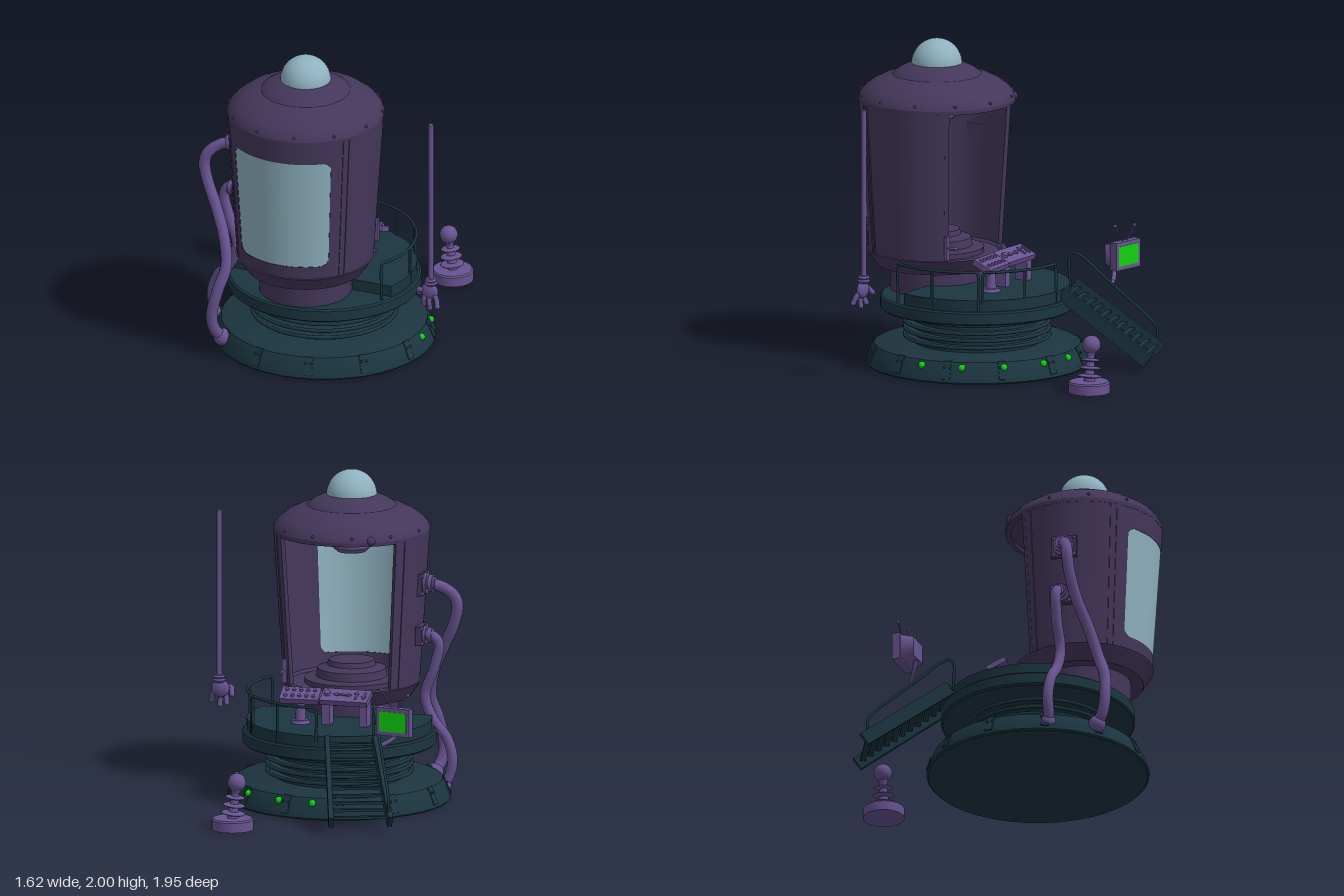
import * as THREE from 'three';
import { toCreasedNormals } from 'three/addons/utils/BufferGeometryUtils.js';

const mat = (color) => new THREE.MeshStandardMaterial({ color, side: THREE.DoubleSide });
const V = (x, y, z) => new THREE.Vector3(x, y, z);
const rad = THREE.MathUtils.degToRad;

export function createModel() {
  const root = new THREE.Group();
  const shell = mat(0x44375b), purple = mat(0x675390), teal = mat(0x1b353f);
  const glass = mat(0x8fb2c0), green = mat(0x10d010);

  const add = (name, geo, m, x = 0, y = 0, z = 0, parent = root) => {
    const mesh = new THREE.Mesh(geo, m);
    mesh.name = name;
    mesh.position.set(x, y, z);
    parent.add(mesh);
    return mesh;
  };
  const lathe = (name, pts, m, x, z, parent = root, seg = 40) =>
    add(name, toCreasedNormals(new THREE.LatheGeometry(pts.map(p => new THREE.Vector2(...p)), seg), rad(25)), m, x, 0, z, parent);
  const box = (name, w, h, d, m, x, y, z, parent) => add(name, new THREE.BoxGeometry(w, h, d), m, x, y, z, parent);
  const cyl = (name, r0, r1, h, m, x, y, z, parent) => add(name, new THREE.CylinderGeometry(r1, r0, h, 24), m, x, y, z, parent);
  const ball = (name, r, m, x, y, z, parent) => add(name, new THREE.SphereGeometry(r, 16, 12), m, x, y, z, parent);
  // Rectangular bar from a to b, in the parent's own coordinates
  const beam = (name, a, b, w, h, m, parent = root) => {
    const mesh = box(name, w, h, a.distanceTo(b), m, 0, 0, 0, parent);
    mesh.position.copy(a).lerp(b, 0.5);
    mesh.quaternion.setFromRotationMatrix(new THREE.Matrix4().lookAt(b, a, V(0, 1, 0)));
    return mesh;
  };
  const tube = (name, pts, r, m, parent = root, seg = 60) =>
    add(name, new THREE.TubeGeometry(new THREE.CatmullRomCurve3(pts, false, 'centripetal'), seg, r, 10), m, 0, 0, 0, parent);

  // Base, bellows and platform share one axis
  const BX = -0.11, BZ = 0.2;
  const polar = (deg, r, y) => V(BX + r * Math.sin(rad(deg)), y, BZ - r * Math.cos(rad(deg)));
  lathe('base', [[0, 0], [0.675, 0], [0.685, 0.01], [0.68, 0.035], [0.655, 0.1], [0.635, 0.13], [0.61, 0.14], [0, 0.14]], teal, BX, BZ);
  lathe('bellowsCore', [[0.39, 0.13], [0.39, 0.36]], teal, BX, BZ);
  for (const y of [0.18, 0.225, 0.27, 0.32]) {
    const ring = add('bellowsRing', new THREE.TorusGeometry(0.445, 0.012, 8, 40), teal, BX, y, BZ);
    ring.rotation.x = Math.PI / 2;
    cyl('bellowsFold', 0.44, 0.44, 0.012, teal, BX, y, BZ);
  }
  lathe('platform', [[0, 0.35], [0.585, 0.35], [0.597, 0.36], [0.597, 0.425], [0.585, 0.435], [0, 0.435]], teal, BX, BZ);

  // Raised deck, cut straight behind the cabin front
  const deck = new THREE.Shape();
  const cut = Math.asin(0.2 / 0.57);
  deck.absarc(0, 0, 0.57, -cut, Math.PI + cut, false);
  const deckGeo = new THREE.ExtrudeGeometry(deck, { depth: 0.07, bevelEnabled: false, curveSegments: 40 });
  add('deck', deckGeo, teal, BX, 0.435, BZ).rotation.x = -Math.PI / 2;

  // Base seams, bolts and lights
  for (let d = -165; d < 180; d += 30) {
    beam('baseSeam', polar(d, 0.684, 0.03), polar(d, 0.636, 0.135), 0.05, 0.008, teal);
    for (const s of [-1.5, 1.5]) {
      const p = polar(d + s, 0.66, 0.1);
      ball('baseBolt', 0.008, teal, p.x, p.y, p.z);
    }
  }
  for (const d of [0, 20, 44, 67, 90]) {
    const p = polar(d, 0.652, 0.1);
    ball('baseLight', 0.022, green, p.x, p.y, p.z);
  }

  // Railing hoops on the left side of the deck
  const hoop = (d0, d1) => {
    const at = (t, y) => polar(d0 + (d1 - d0) * t, 0.565, y);
    const pts = [];
    for (let i = 0; i <= 16; i++) pts.push(at(0.02 + 0.96 * i / 16, 0.68));
    tube('railing', [at(0, 0.44), at(0, 0.66), ...pts, at(1, 0.66), at(1, 0.44)], 0.009, teal, root, 100);
    tube('railingPost', [at(0.5, 0.44), at(0.5, 0.68)], 0.008, teal, root, 2);
  };
  hoop(0, 55);
  hoop(58, 118);

  // Stairs with widening stringers
  const topL = V(-0.46, 0.485, -0.28), endL = V(-0.69, 0.08, -0.77);
  const topR = V(-0.18, 0.485, -0.36), endR = V(-0.345, 0.08, -0.885);
  beam('stringer', topL, endL, 0.03, 0.085, teal);
  beam('stringer', topR, endR, 0.03, 0.085, teal);
  for (let i = 0; i < 11; i++) {
    const t = 0.06 + i * 0.088;
    const a = topL.clone().lerp(endL, t), b = topR.clone().lerp(endR, t);
    beam('tread', a, b, 0.032, 0.016, teal);
  }
  // Stair rail with a straight slope and a post at each end
  const railTop = V(-0.47, 0.675, -0.31), railEnd = V(-0.67, 0.245, -0.74);
  const slope = [0.04, 0.3, 0.6, 0.96].map(t => railTop.clone().lerp(railEnd, t));
  tube('stairRail', [V(-0.45, 0.47, -0.26), V(-0.45, 0.66, -0.26), V(-0.455, 0.68, -0.28), ...slope,
    V(-0.675, 0.21, -0.75), V(-0.675, 0.1, -0.75)], 0.009, teal, root, 90);

  // Cabin; angle 0 faces the front
  const cabin = new THREE.Group();
  cabin.name = 'cabin';
  cabin.position.set(BX, 0, 0.49);
  root.add(cabin);
  const wallR = (y) => 0.42 + (y - 0.69) * 0.066;
  const onWall = (deg, y, off = 0) => V((wallR(y) + off) * Math.sin(rad(deg)), y, (wallR(y) + off) * Math.cos(rad(deg)));
  const band = (name, m, a0, a1, lo, hi, off) => {
    const geo = new THREE.PlaneGeometry(1, 1, 30, 4), p = geo.attributes.position;
    for (let i = 0; i < p.count; i++) {
      const a = a0 + (a1 - a0) * (p.getX(i) + 0.5), l = lo(a), h = hi(a);
      const v = onWall(a, l + (h - l) * (p.getY(i) + 0.5), off);
      p.setXYZ(i, v.x, v.y, v.z);
    }
    geo.computeVertexNormals();
    add(name, geo, m, 0, 0, 0, cabin);
  };
  const WIN = 43, EDGE = 129, floorY = () => 0.68, roofY = () => 1.63;
  const corner = (a) => 0.035 * Math.max(0, 1 - (WIN - Math.abs(a)) / 4);
  const winLo = (a) => 0.77 + corner(a), winHi = (a) => 1.485 - corner(a);
  for (const off of [0, -0.025]) {
    band('sideWall', shell, -EDGE, -WIN, floorY, roofY, off);
    band('sideWall', shell, WIN, EDGE, floorY, roofY, off);
    band('wallBelowWindow', shell, -WIN, WIN, floorY, winLo, off);
    band('wallAboveWindow', shell, -WIN, WIN, winHi, roofY, off);
    band('window', glass, -WIN, WIN, winLo, winHi, off * 0.8 - 0.002);
  }
  for (const s of [-1, 1]) {
    for (const d of [53, 58, 122]) beam('wallRib', onWall(s * d, 0.69), onWall(s * d, 1.62), 0.01, 0.01, shell, cabin);
    beam('doorPost', onWall(s * EDGE, 0.68, -0.012), onWall(s * EDGE, 1.63, -0.012), 0.026, 0.026, shell, cabin);
  }
  lathe('cabinTub', [[0.285, 0.43], [0.29, 0.59], [0.365, 0.59], [0.43, 0.685], [0.4, 0.69], [0.38, 0.67], [0, 0.67]], shell, 0, 0, cabin);
  lathe('roof', [[0.45, 1.61], [0.483, 1.615], [0.485, 1.64], [0.475, 1.665], [0.445, 1.7], [0.39, 1.74], [0.33, 1.768], [0.275, 1.783],
    [0.268, 1.792], [0.23, 1.817], [0.19, 1.836], [0.155, 1.85], [0, 1.85]], shell, 0, 0, cabin);
  cyl('ceiling', 0.455, 0.455, 0.01, shell, 0, 1.64, 0, cabin);
  add('dome', new THREE.SphereGeometry(0.156, 32, 12, 0, Math.PI * 2, 0, Math.PI / 2), glass, 0, 1.845, 0, cabin);
  for (let d = 15; d < 360; d += 30) {
    const a = rad(d);
    ball('roofBolt', 0.009, shell, 0.477 * Math.sin(a), 1.665, 0.477 * Math.cos(a), cabin);
  }
  lathe('ceilingLamp', [[0, 1.49], [0.09, 1.49], [0.12, 1.52], [0.12, 1.58], [0.15, 1.6], [0.15, 1.64]], purple, 0, 0, cabin);
  lathe('cabinDais', [[0.29, 0.67], [0.29, 0.7], [0.22, 0.71], [0.21, 0.76], [0.15, 0.78], [0.14, 0.81], [0, 0.81]], shell, 0, 0, cabin);
  ball('doorLamp', 0.028, shell, -0.23, 1.645, -0.41, cabin);

  // Door lever
  box('leverPlate', 0.03, 0.15, 0.02, purple, 0.24, 0.775, 0.205);
  cyl('lever', 0.007, 0.007, 0.08, purple, 0.24, 0.78, 0.16).rotation.x = Math.PI / 2;
  ball('leverKnob', 0.014, purple, 0.24, 0.78, 0.135);

  // Hoses and their fittings
  tube('upperHose', [V(-0.58, 1.32, 0.46), V(-0.68, 1.3, 0.48), V(-0.755, 1.24, 0.51), V(-0.775, 1.17, 0.52), V(-0.75, 1.06, 0.53), V(-0.68, 0.91, 0.56),
    V(-0.6, 0.74, 0.62), V(-0.565, 0.57, 0.67), V(-0.6, 0.42, 0.72), V(-0.635, 0.25, 0.73), V(-0.62, 0.15, 0.71), V(-0.58, 0.08, 0.66)], 0.036, purple);
  tube('lowerHose', [V(-0.56, 1.0, 0.44), V(-0.64, 1.0, 0.43), V(-0.68, 0.95, 0.43), V(-0.65, 0.8, 0.43), V(-0.59, 0.62, 0.44),
    V(-0.64, 0.48, 0.43), V(-0.74, 0.36, 0.41), V(-0.775, 0.23, 0.4), V(-0.75, 0.12, 0.4), V(-0.71, 0.06, 0.39)], 0.033, purple);
  for (const [y, z, s] of [[1.32, 0.46, 1], [1.0, 0.44, 0.85]]) {
    box('hosePlate', 0.04, 0.14 * s, 0.16 * s, shell, -0.565, y, z);
    for (const [r, x] of [[0.065, -0.59], [0.055, -0.625]])
      cyl('hoseCollar', r * s, r * s, 0.025, purple, x, y, z).rotation.z = Math.PI / 2;
    cyl('hoseNeck', 0.042 * s, 0.042 * s, 0.08, purple, -0.61, y, z).rotation.z = Math.PI / 2;
    for (const i of [-1, 1]) for (const j of [-1, 1]) ball('plateBolt', 0.011, purple, -0.585, y + 0.055 * s * i, z + 0.065 * s * j);
  }
  ball('hoseSocket', 0.055, purple, -0.59, 0.09, 0.67);
  ball('hoseSocket', 0.05, purple, -0.72, 0.07, 0.39);

  // Control consoles, sloping down towards the back
  const addConsole = (x, w, yaw, z) => {
    const g = new THREE.Group();
    g.name = 'console';
    g.position.set(x, 0.66, z);
    g.rotation.y = yaw;
    root.add(g);
    const top = new THREE.Group();
    top.name = 'consoleTop';
    top.rotation.x = -0.42;
    top.position.y = 0.015;
    g.add(top);
    box('panel', w, 0.035, 0.13, purple, 0, 0, 0, top);
    return [g, top];
  };
  const [deskR, panelR] = addConsole(0.08, 0.245, 0.04, -0.015);
  for (let i = 0; i < 5; i++) for (const z of [-0.03, 0.03]) cyl('button', 0.013, 0.011, 0.016, purple, -0.088 + i * 0.044, 0.022, z, panelR);
  cyl('consoleStand', 0.035, 0.025, 0.15, purple, 0, -0.08, 0, deskR);
  cyl('standFoot', 0.06, 0.05, 0.02, purple, 0, -0.145, 0, deskR);
  const [deskL, panelL] = addConsole(-0.205, 0.305, -0.04, -0.005);
  for (const s of [-1, 1]) box('consoleLeg', 0.05, 0.15, 0.09, purple, s * 0.12, -0.08, 0.01, deskL);
  // Arrow-shaped keys: two upright, one double-headed
  const key = (x, z, turn) => {
    const k = add('arrowKey', new THREE.CylinderGeometry(0.018, 0.018, 0.012, 3), purple, x, 0.021, z, panelL);
    k.rotation.y = turn;
  };
  key(-0.12, -0.02, Math.PI); key(-0.07, 0.02, 0);
  box('keyStem', 0.012, 0.01, 0.05, purple, -0.12, 0.02, 0.01, panelL);
  box('keyStem', 0.012, 0.01, 0.05, purple, -0.07, 0.02, -0.01, panelL);
  key(-0.02, 0, -Math.PI / 2); key(0.06, 0, Math.PI / 2);
  box('keyStem', 0.07, 0.01, 0.012, purple, 0.02, 0.02, 0, panelL);
  cyl('knob', 0.022, 0.02, 0.025, purple, 0.115, 0.025, 0, panelL);

  // Monitor clipped to the stair rail
  const monitor = new THREE.Group();
  monitor.name = 'monitor';
  monitor.position.set(-0.66, 0.66, -0.5);
  monitor.rotation.y = rad(170);
  root.add(monitor);
  box('monitorFrame', 0.225, 0.175, 0.05, purple, 0, 0, 0.035, monitor);
  box('screen', 0.18, 0.125, 0.012, green, 0, 0, 0.057, monitor);
  const hood = new THREE.CylinderGeometry(0.15, 0.115, 0.08, 4, 1);
  hood.rotateY(Math.PI / 4).rotateX(Math.PI / 2).scale(0.95, 0.74, 1);
  add('monitorHood', hood, purple, 0, 0, -0.025, monitor);
  for (const s of [-1, 1]) {
    const tip = V(s * 0.09, s < 0 ? 0.19 : 0.17, 0.03);
    tube('aerial', [V(s * 0.015, 0.08, 0.03), tip], 0.005, purple, monitor, 2);
    ball('aerialTip', 0.011, purple, tip.x, tip.y, tip.z, monitor);
  }
  tube('monitorArm', [V(-0.66, 0.6, -0.45), V(-0.63, 0.54, -0.47), V(-0.565, 0.5, -0.5)], 0.014, purple);

  // Pole with a hanging hand
  cyl('pole', 0.017, 0.017, 1.05, purple, 0.735, 1.175, 0.5);
  lathe('cuff', [[0, 0.615], [0.03, 0.615], [0.04, 0.63], [0.03, 0.64], [0.038, 0.65], [0.03, 0.662], [0, 0.665]], purple, 0.735, 0.5, root, 20);
  ball('palm', 0.058, purple, 0.73, 0.575, 0.51).scale.set(1, 0.95, 0.5);
  const fingers = [[0.69, 0.485, 0.51], [0.735, 0.47, 0.52], [0.795, 0.495, 0.54], [0.65, 0.545, 0.49]];
  for (const [x, y, z] of fingers) {
    tube('finger', [V(0.73 + (x - 0.73) * 0.35, 0.575, 0.51), V(0.73 + (x - 0.73) * 0.8, y + 0.04, 0.525), V(x, y, z)], 0.016, purple, root, 12);
    ball('fingerTip', 0.017, purple, x, y, z);
  }

  // Free-standing coil post with a ball on top
  lathe('coilBase', [[0, 0], [0.128, 0], [0.128, 0.06], [0.12, 0.07], [0, 0.07]], purple, 0.29, -0.85);
  const coil = new THREE.Group();
  coil.name = 'coil';
  coil.position.set(0.29, 0.07, -0.85);
  coil.rotation.z = 0.12;
  root.add(coil);
  cyl('coilStem', 0.035, 0.02, 0.18, purple, 0, 0.09, 0, coil);
  [[0.03, 0.075], [0.08, 0.068], [0.13, 0.06]].forEach(([y, r]) => {
    add('coilRing', new THREE.SphereGeometry(r, 24, 10), purple, 0, y, 0, coil).scale.y = 0.18;
  });
  cyl('coilNeck', 0.02, 0.04, 0.06, purple, 0, 0.175, 0, coil);
  ball('coilBall', 0.057, purple, 0, 0.225, 0, coil);
  return root;
}
